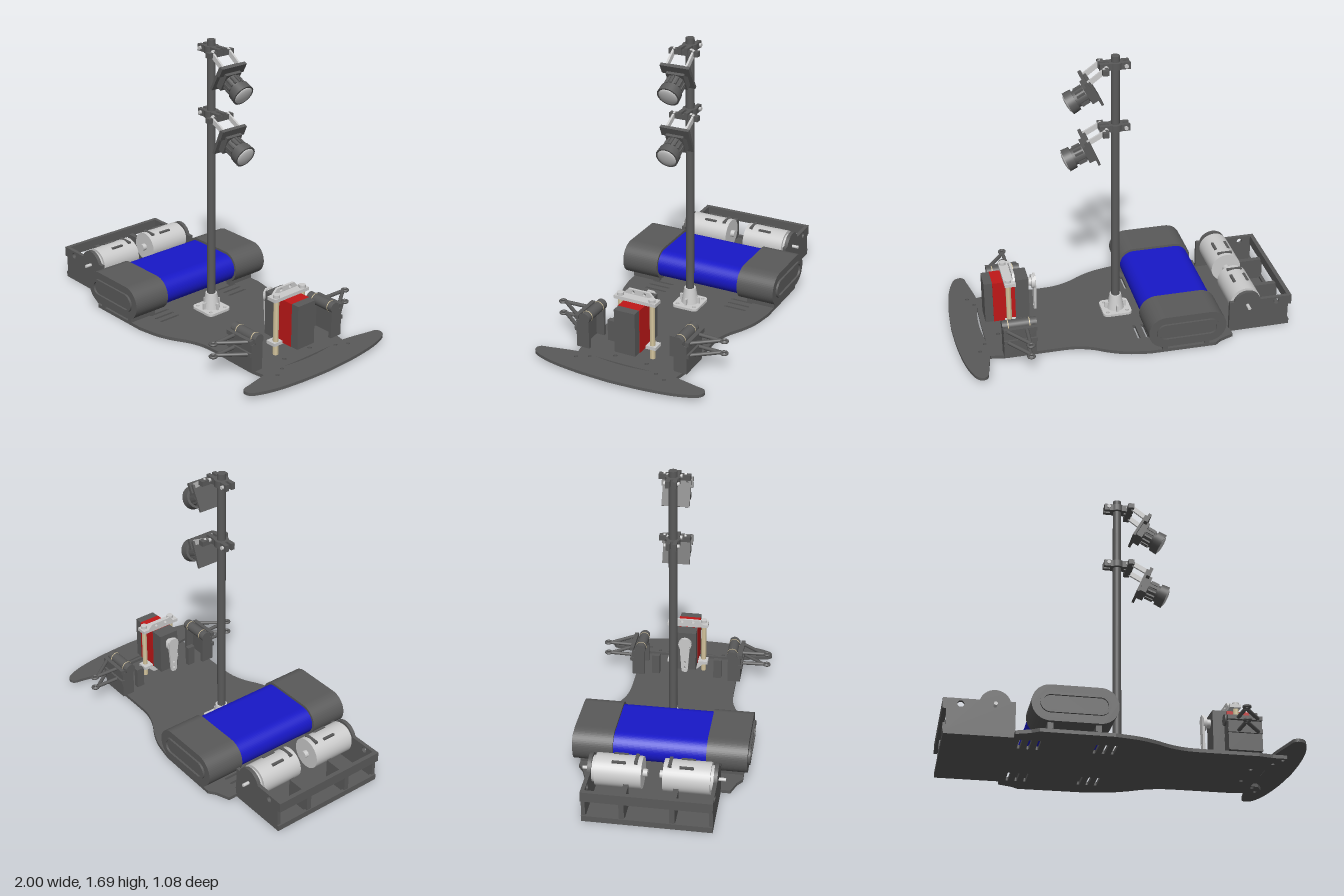
import * as THREE from 'three';

const mat = (color) => new THREE.MeshStandardMaterial({ color, side: THREE.DoubleSide });
const dark = mat(0x5a5a5a), light = mat(0xcccccc), blue = mat(0x1818c8), red = mat(0xc01818), brass = mat(0xd8c8a0);

function add(parent, name, geometry, material, x = 0, y = 0, z = 0) {
  const m = new THREE.Mesh(geometry, material);
  m.name = name;
  m.position.set(x, y, z);
  parent.add(m);
  return m;
}
// Box given by its extents
const box = (p, name, m, x0, x1, y0, y1, z0, z1) =>
  add(p, name, new THREE.BoxGeometry(x1 - x0, y1 - y0, z1 - z0), m, (x0 + x1) / 2, (y0 + y1) / 2, (z0 + z1) / 2);
// Cylinder between two points
function rod(p, name, m, a, b, r, r2 = r, seg = 24) {
  const A = new THREE.Vector3(...a), B = new THREE.Vector3(...b), d = B.clone().sub(A);
  const mesh = add(p, name, new THREE.CylinderGeometry(r2, r, d.length(), seg), m);
  mesh.position.copy(A).add(B).multiplyScalar(0.5);
  mesh.quaternion.setFromUnitVectors(new THREE.Vector3(0, 1, 0), d.normalize());
  return mesh;
}
const extrude = (shape, depth) => new THREE.ExtrudeGeometry(shape, { depth, bevelEnabled: false, curveSegments: 16 });
// Flat plate drawn in x,z with its underside at y0
function plate(p, name, m, shape, y0, h) {
  return add(p, name, extrude(shape, h).rotateX(Math.PI / 2), m, 0, y0 + h, 0);
}
function stadium(x0, x1, y0, y1, C = THREE.Shape) {
  const r = Math.min(x1 - x0, y1 - y0) / 2, s = new C();
  if (x1 - x0 >= y1 - y0) {
    s.absarc(x1 - r, y0 + r, r, -Math.PI / 2, Math.PI / 2);
    s.absarc(x0 + r, y0 + r, r, Math.PI / 2, Math.PI * 1.5);
  } else {
    s.absarc(x0 + r, y1 - r, r, 0, Math.PI);
    s.absarc(x0 + r, y0 + r, r, Math.PI, Math.PI * 2);
  }
  s.closePath();
  return s;
}
const circle = (x, y, r) => new THREE.Path().absarc(x, y, r, 0, Math.PI * 2);
const v2 = (a) => a.map(([x, y]) => new THREE.Vector2(x, y));
const mirrored = (half) => [...half, ...half.slice().reverse().map((p) => new THREE.Vector2(p.x, -p.y))];

function chassis(g) {
  const waist = new THREE.SplineCurve(v2([[-0.1, 0.475], [0.03, 0.45], [0.13, 0.41], [0.22, 0.36], [0.32, 0.33], [0.45, 0.325]])).getPoints(24);
  const half = [...v2([[-0.98, 0.365], [-0.62, 0.365], [-0.62, 0.42], [-0.54, 0.45], [-0.5, 0.48]]), ...waist,
    ...v2([[0.72, 0.325], [0.8, 0.31], [0.88, 0.31], [0.89, 0.29], [0.89, 0.24], [0.86, 0.19], [0.815, 0.18]])];
  const s = new THREE.Shape(mirrored(half));
  for (const k of [-1, 1]) {
    for (const x of [-0.58, -0.53, -0.48, -0.17, -0.12, -0.07])
      s.holes.push(stadium(x - 0.008, x + 0.008, k * 0.27 - 0.07, k * 0.27 + 0.07, THREE.Path));
    s.holes.push(circle(0.735, k * 0.1, 0.012), circle(0.83, k * 0.21, 0.011), circle(0.866, k * 0.278, 0.011));
  }
  plate(g, 'chassisPlate', dark, s, 0, 0.02);

  // Bowed front bumper with a crescent slot
  const outer = new THREE.SplineCurve(v2([[0.845, 0.47], [0.855, 0.515], [0.885, 0.53], [0.925, 0.5], [0.965, 0.38], [0.99, 0.2], [1, 0]])).getPoints(30);
  const inner = new THREE.SplineCurve(v2([[0.805, 0], [0.805, 0.2], [0.815, 0.32], [0.845, 0.47]])).getPoints(16);
  const b = new THREE.Shape([...outer, ...outer.slice(0, -1).reverse().map((p) => new THREE.Vector2(p.x, -p.y)),
    ...inner.slice(0, -1).reverse().map((p) => new THREE.Vector2(p.x, -p.y)), ...inner.slice(1, -1)]);
  const slot = new THREE.Path();
  slot.moveTo(0.818, -0.18);
  slot.quadraticCurveTo(0.852, 0, 0.818, 0.18);
  slot.quadraticCurveTo(0.825, 0, 0.818, -0.18);
  b.holes.push(slot);
  for (const k of [-1, 1]) b.holes.push(circle(0.83, k * 0.21, 0.011), circle(0.866, k * 0.278, 0.011));
  plate(g, 'bumper', dark, b, 0.02, 0.018);
}

function battery(g) {
  add(g, 'batteryPack', extrude(stadium(-0.535, -0.1, 0.072, 0.242), 0.6), blue, 0, 0, -0.3);
  for (const k of [-1, 1]) {
    add(g, 'batteryEndCap', extrude(stadium(-0.55, -0.085, 0.055, 0.257), 0.235), dark, 0, 0, k > 0 ? 0.27 : -0.505);
    const rim = stadium(-0.505, -0.13, 0.1, 0.212);
    rim.holes.push(stadium(-0.49, -0.145, 0.115, 0.197, THREE.Path));
    add(g, 'capRim', extrude(rim, 0.012), dark, 0, 0, k > 0 ? 0.505 : -0.517);
    for (const x of [-0.445, -0.19]) box(g, 'batteryFoot', dark, x - 0.015, x + 0.015, 0.02, 0.08, k * 0.39 - 0.09, k * 0.39 + 0.09);
  }
}

function rearDrive(g) {
  const side = new THREE.Shape();
  side.moveTo(-0.98, 0.02);
  side.lineTo(-0.615, 0.02);
  side.lineTo(-0.615, 0.2);
  side.lineTo(-0.64, 0.2);
  side.absarc(-0.725, 0.175, 0.085, 0.3, Math.PI - 0.3, false);
  side.lineTo(-0.98, 0.2);
  side.closePath();
  side.holes.push(circle(-0.905, 0.17, 0.018));
  box(g, 'rearTopRail', dark, -1, -0.975, 0.14, 0.2, -0.365, 0.365);
  box(g, 'rearBottomRail', dark, -0.99, -0.97, 0, 0.035, -0.365, 0.365);
  for (const k of [-1, 1]) {
    add(g, 'motorMount', extrude(side, 0.022), dark, 0, 0, k > 0 ? 0.343 : -0.365);
    box(g, 'rearRib', dark, -0.985, -0.83, 0.02, 0.155, k * 0.14 - 0.015, k * 0.14 + 0.015);
    rod(g, 'motor', light, [-0.725, 0.17, k * 0.06], [-0.725, 0.17, k * 0.325], 0.092, 0.092, 40);
    rod(g, 'motorFace', light, [-0.725, 0.17, k * 0.32], [-0.725, 0.17, k * 0.345], 0.075, 0.075, 32);
    rod(g, 'motorBearing', light, [-0.725, 0.17, k * 0.035], [-0.725, 0.17, k * 0.06], 0.022);
    rod(g, 'motorShaft', light, [-0.725, 0.17, k * 0.34], [-0.725, 0.17, k * 0.405], 0.01);
    // Cooling slots on top of the can
    for (const x of [-0.765, -0.685]) box(g, 'coolingSlot', dark, x - 0.008, x + 0.008, 0.235, 0.258, k * 0.19 - 0.04, k * 0.19 + 0.04);
    box(g, 'motorVent', dark, -0.77, -0.68, 0.25, 0.262, k * 0.095 - 0.01, k * 0.095 + 0.01);
  }
}

function camera(g, clampY, dx, lensY, tilt) {
  const c = new THREE.Group();
  c.name = 'cameraUnit';
  g.add(c);
  // Mast clamp with bolts
  rod(c, 'clampRing', dark, [-0.005, clampY - 0.02, 0], [-0.005, clampY + 0.02, 0], 0.042);
  for (const k of [-1, 1]) {
    box(c, 'clampJaw', dark, -0.085, 0.09, clampY - 0.02, clampY + 0.02, k > 0 ? 0.008 : -0.032, k > 0 ? 0.032 : -0.008);
    for (const x of [-0.06, 0.055]) rod(c, 'clampBolt', light, [x, clampY, k * 0.03], [x, clampY, k * 0.045], 0.012, 0.012, 6);
  }
  // Camera built along +x, then tilted down
  const cam = new THREE.Group();
  cam.name = 'camera';
  cam.position.set(0.25 + dx, lensY, 0);
  cam.rotation.z = -tilt;
  c.add(cam);
  box(cam, 'circuitBoard', dark, -0.153, -0.138, -0.08, 0.08, -0.08, 0.08);
  box(cam, 'sensorHousing', dark, -0.14, -0.1, -0.055, 0.055, -0.055, 0.055);
  rod(cam, 'lensBarrel', dark, [-0.1, 0, 0], [-0.03, 0, 0], 0.05);
  for (let i = 0; i < 12; i++) {
    const a = (i * Math.PI) / 6;
    box(cam, 'gripRib', dark, -0.095, -0.045, -0.006, 0.006, -0.006, 0.006).position.set(-0.07, 0.05 * Math.cos(a), 0.05 * Math.sin(a));
  }
  rod(cam, 'lensRing', dark, [-0.03, 0, 0], [0.018, 0, 0], 0.064, 0.067, 40);
  const glass = add(cam, 'lensGlass', new THREE.SphereGeometry(0.058, 32, 12, 0, Math.PI * 2, 0, Math.PI / 2), light, 0.016, 0, 0);
  glass.rotation.z = -Math.PI / 2;
  glass.scale.y = 0.25;
  // Folded bracket from clamp to board
  const b = new THREE.Vector3(-0.13, 0.07, 0).applyAxisAngle(new THREE.Vector3(0, 0, 1), -tilt).add(cam.position);
  const a = new THREE.Vector3(0.07, clampY - 0.005, 0), d = b.clone().sub(a);
  for (const k of [-1, 1]) {
    const arm = add(c, 'bracketArm', new THREE.BoxGeometry(d.length() + 0.02, 0.03, 0.012), light, (a.x + b.x) / 2, (a.y + b.y) / 2, k * 0.06);
    arm.rotation.z = Math.atan2(d.y, d.x);
  }
  box(c, 'bracketBridge', dark, 0.05, 0.085, clampY - 0.025, clampY + 0.005, -0.09, 0.09);
  const lip = box(c, 'bracketLip', dark, 0, 0.02, 0, 0.06, -0.09, 0.09);
  lip.position.set(b.x, b.y - 0.005, 0);
  lip.rotation.z = -tilt;
}

function mast(g) {
  const base = new THREE.Shape();
  base.absarc(0.055, 0.055, 0.028, 0, Math.PI / 2);
  base.absarc(-0.065, 0.055, 0.028, Math.PI / 2, Math.PI);
  base.absarc(-0.065, -0.055, 0.028, Math.PI, Math.PI * 1.5);
  base.absarc(0.055, -0.055, 0.028, Math.PI * 1.5, Math.PI * 2);
  for (const x of [-0.065, 0.055]) for (const z of [-0.055, 0.055]) base.holes.push(circle(x, z, 0.011));
  plate(g, 'mastFlange', light, base, 0.02, 0.015);
  rod(g, 'mastSocket', light, [-0.005, 0.035, 0], [-0.005, 0.13, 0], 0.052, 0.035, 32);
  for (const r of [0, Math.PI / 2]) box(g, 'socketRib', light, -0.07, 0.06, 0.03, 0.075, -0.006, 0.006).rotation.y = r;
  rod(g, 'mastPole', dark, [-0.005, 0.03, 0], [-0.005, 1.695, 0], 0.025, 0.025, 32);
  camera(g, 1.64, 0, 1.438, 0.5);
  camera(g, 1.26, 0.02, 1.082, 0.4);
}

function steering(g) {
  // Servo laid with its output shaft to the rear
  box(g, 'servoGearbox', dark, 0.535, 0.618, 0.09, 0.355, -0.065, 0.065);
  box(g, 'servoBody', red, 0.618, 0.75, 0.09, 0.355, -0.068, 0.068);
  box(g, 'servoCover', dark, 0.75, 0.8, 0.09, 0.355, -0.065, 0.065);
  rod(g, 'servoShaft', light, [0.495, 0.295, 0], [0.54, 0.295, 0], 0.025);
  rod(g, 'servoHub', light, [0.49, 0.295, 0], [0.51, 0.295, 0], 0.042);
  const horn = new THREE.Shape(v2([[-0.035, 0.32], [-0.02, 0.34], [0.02, 0.34], [0.035, 0.32], [0.02, 0.11], [0.01, 0.1], [-0.01, 0.1], [-0.02, 0.11]]));
  horn.holes.push(circle(0, 0.13, 0.008), circle(0, 0.17, 0.008));
  add(g, 'servoHorn', extrude(horn, 0.014), light, 0.484).rotation.y = Math.PI / 2;
  // Angle brackets above and below, joined by standoffs
  for (const [y, up] of [[0.357, 1], [0.085, -1]]) {
    box(g, 'servoBracket', light, 0.62, 0.685, y - 0.002, y + 0.018, -0.13, 0.13);
    const tab = new THREE.Shape(v2([[-0.1, 0], [0.1, 0], [0.065, 0.035 * up], [-0.065, 0.035 * up]]));
    for (const k of [-1, 1]) tab.holes.push(circle(k * 0.035, 0.018 * up, 0.01));
    add(g, 'bracketTab', extrude(tab, 0.014), light, 0.618, y + (up > 0 ? 0.014 : 0), 0).rotation.y = Math.PI / 2;
  }
  for (const k of [-1, 1]) {
    rod(g, 'standoff', brass, [0.662, 0.02, k * 0.1], [0.662, 0.365, k * 0.1], 0.017, 0.017, 6);
    rod(g, 'standoffScrew', light, [0.662, 0.37, k * 0.1], [0.662, 0.392, k * 0.1], 0.02);
    box(g, 'stopPost', dark, 0.57, 0.6, 0.02, 0.15, k * 0.2 - 0.025, k * 0.2 + 0.025);

    // Suspension mount with hinge barrel
    box(g, 'suspensionMount', dark, 0.545, 0.735, 0.02, 0.19, k * 0.335 - 0.015, k * 0.335 + 0.015);
    for (const x of [0.545, 0.715]) box(g, 'hingeLug', dark, x, x + 0.02, 0.02, 0.22, k * 0.3 - 0.03, k * 0.3 + 0.03);
    rod(g, 'hingeBarrel', dark, [0.535, 0.208, k * 0.295], [0.737, 0.208, k * 0.295], 0.032);
    for (const x of [0.575, 0.7]) rod(g, 'hingeBand', brass, [x, 0.208, k * 0.295], [x + 0.005, 0.208, k * 0.295], 0.033);

    // Upper and lower wishbones ending in eyes
    for (const y of [0.13, 0.205]) {
      const tip = [0.605, y, k * 0.495];
      rod(g, 'wishboneArm', dark, [0.715, y, k * 0.35], tip, 0.011, 0.011, 12);
      rod(g, 'wishboneArm', dark, [0.6, y, k * 0.35], tip, 0.011, 0.011, 12);
      box(g, 'wishboneHinge', dark, 0.54, 0.735, y - 0.012, y + 0.012, k * 0.35 - 0.012, k * 0.35 + 0.012);
      add(g, 'wishboneEye', new THREE.TorusGeometry(0.017, 0.008, 10, 20).rotateX(Math.PI / 2), dark, 0.605, y, k * 0.515);
    }
  }
}

export function createModel() {
  const g = new THREE.Group();
  g.name = 'roboticCar';
  chassis(g);
  battery(g);
  rearDrive(g);
  mast(g);
  steering(g);
  return g;
}
